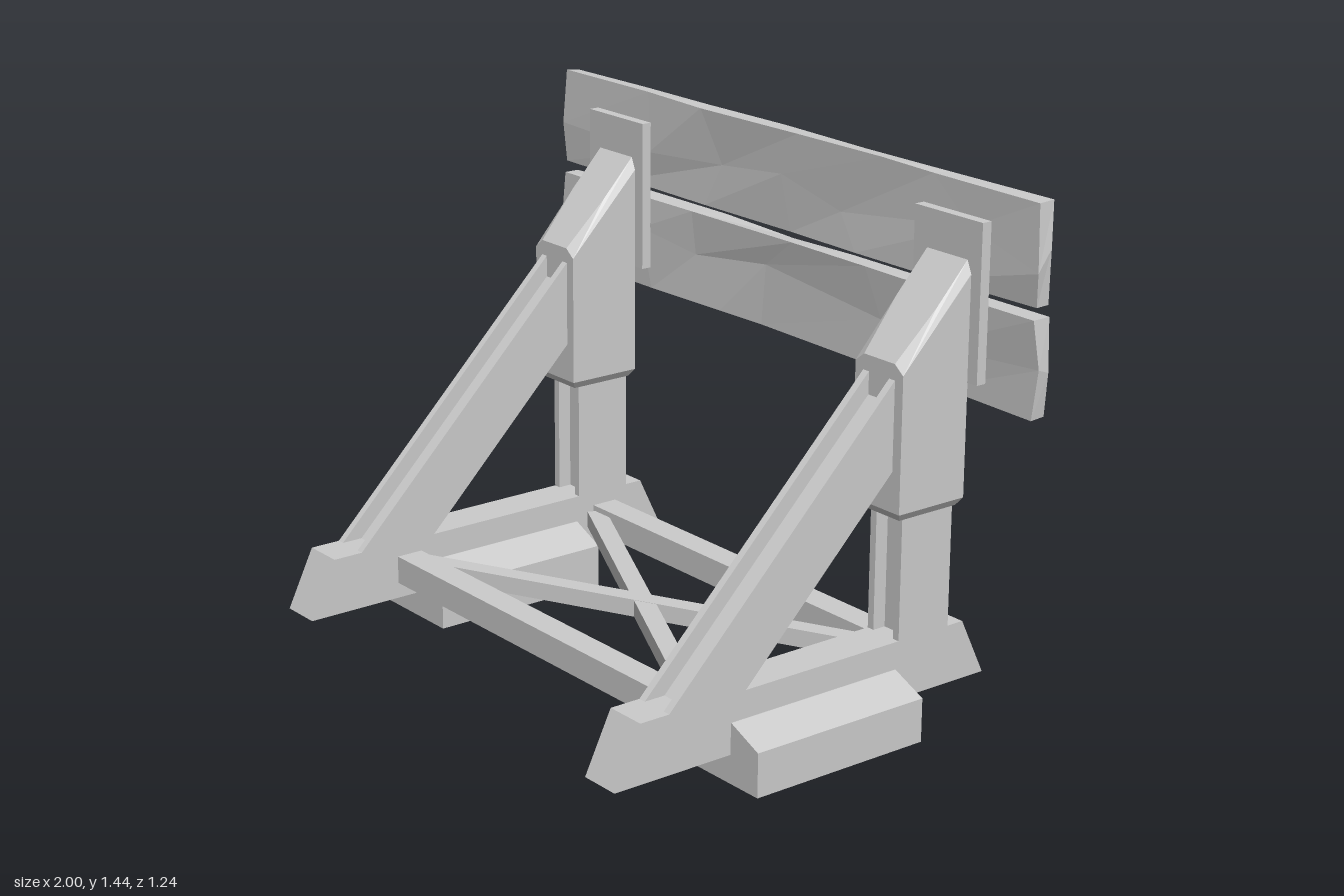
import * as THREE from 'three';
import { ConvexGeometry } from 'three/addons/geometries/ConvexGeometry.js';

const material = new THREE.MeshStandardMaterial({ color: 0xcccccc, flatShading: true });

function part(name, geometry, x = 0, y = 0, z = 0) {
  const mesh = new THREE.Mesh(geometry, material);
  mesh.name = name;
  mesh.position.set(x, y, z);
  return mesh;
}

const box = (name, w, h, d, x, y, z) => part(name, new THREE.BoxGeometry(w, h, d), x, y, z);

// Extrudes an outline along z, centred on z = 0
function extrude(points, depth) {
  const shape = new THREE.Shape(points.map(([a, b]) => new THREE.Vector2(a, b)));
  const geometry = new THREE.ExtrudeGeometry(shape, { depth, bevelEnabled: false });
  return geometry.translate(0, 0, -depth / 2);
}

// Extrudes a [z, y] side outline along x, centred on x = 0
const sideExtrude = (points, width) => extrude(points, width).rotateY(-Math.PI / 2);

// H-section beam: two full side flanges and a narrower web between them
function hBeam(name, outline, webOutline) {
  const beam = new THREE.Group();
  beam.name = name;
  beam.add(part('web', sideExtrude(webOutline, 0.078)));
  for (const s of [-1, 1]) beam.add(part('flange', sideExtrude(outline, 0.022), s * 0.049));
  return beam;
}

// Upright outline between two depths
const postOutline = (front, back) => [[front, 0.23], [front, 0.65], [back, 0.65], [back, 0.23]];

// 45 degree strut outline, trimmed inside the base beam and the sleeve
function strutOutline(inset) {
  const front = 0.45 - inset, back = 0.205 + inset;
  const at = (start, z) => [z, 0.245 + (start - z)];
  return [at(front, front + 0.01), at(front, -0.29), at(back, -0.29), at(back, back + 0.01)];
}

// Sleeve with chamfered bottom rim and chamfered sloping cap
function sleeveGeometry() {
  const points = [];
  const add = (x, y, z) => points.push(new THREE.Vector3(x, y, z), new THREE.Vector3(-x, y, z));
  add(0.075, 0.59, -0.287);
  add(0.075, 0.59, -0.483);
  add(0.09, 0.612, -0.272);
  add(0.09, 0.612, -0.497);
  add(0.09, 0.985, -0.272);
  add(0.09, 1.215, -0.497);
  add(0.058, 1.01, -0.272);
  add(0.075, 1.14, -0.394);
  add(0.075, 1.25, -0.497);
  return new ConvexGeometry(points);
}

function createFrame(x) {
  const frame = new THREE.Group();
  frame.name = 'sideFrame';
  frame.position.x = x;
  frame.add(part('baseBeam', sideExtrude(
    [[-0.62, 0.08], [0.62, 0.08], [0.54, 0.245], [-0.54, 0.245]], 0.12)));
  frame.add(part('foot', extrude(
    [[-0.167, 0], [0.167, 0], [0.167, 0.123], [0.062, 0.168], [-0.062, 0.168], [-0.167, 0.123]], 0.555),
  0, 0, -0.025));
  frame.add(hBeam('post', postOutline(-0.312, -0.487), postOutline(-0.352, -0.447)));
  frame.add(hBeam('strut', strutOutline(0), strutOutline(0.062)));
  frame.add(part('sleeve', sleeveGeometry()));
  frame.add(box('mountingPlate', 0.25, 0.43, 0.03, 0, 1.14, -0.511));
  return frame;
}

// Rough-hewn plank: a segmented box whose vertices shift by a repeatable rule
function plankGeometry(height, seed, endBulge) {
  const geometry = new THREE.BoxGeometry(1.97, height, 0.046, 6, 2, 1);
  const pos = geometry.attributes.position;
  const noise = (a, b, c) => {
    const v = Math.sin(a * 12.9 + b * 78.2 + c * 37.7 + seed * 19.1) * 43758.5;
    return (v - Math.floor(v)) * 2 - 1;
  };
  for (let i = 0; i < pos.count; i++) {
    const x = pos.getX(i), y = pos.getY(i), z = pos.getZ(i);
    const a = Math.round(x * 3), b = Math.round(y / height * 2), c = Math.sign(z);
    const middle = b === 0;
    const atEnd = Math.abs(x) > 0.95;
    pos.setX(i, x + (atEnd ? (middle ? Math.sign(x) * endBulge : 0) : noise(a, b, c) * 0.09));
    pos.setY(i, y + (middle ? noise(b + 3, a, c) * 0.045 : noise(a, c, b) * 0.004));
    pos.setZ(i, z + noise(c, a, b + 5) * (middle ? 0.009 : 0.005));
  }
  const flat = geometry.toNonIndexed();
  flat.computeVertexNormals();
  return flat;
}

export function createModel() {
  const model = new THREE.Group();
  model.name = 'barrier';

  for (const s of [-1, 1]) model.add(createFrame(s * 0.697));

  // Cross rails between the frames
  model.add(box('frontRail', 1.3, 0.08, 0.08, 0, 0.165, 0.29));
  model.add(box('backRail', 1.3, 0.08, 0.08, 0, 0.165, -0.405));

  // Crossed floor braces
  for (const s of [-1, 1]) {
    const brace = box('crossBrace', 1.4, s > 0 ? 0.05 : 0.048, 0.055, 0, 0.165, -0.055);
    brace.rotation.y = s * Math.atan2(0.61, 1.22);
    model.add(brace);
  }

  // Planks across the back
  model.add(part('upperPlank', plankGeometry(0.275, 1, 0.01), 0, 1.3, -0.553));
  model.add(part('lowerPlank', plankGeometry(0.265, 2, 0.015), 0, 1.0, -0.553));
  return model;
}
